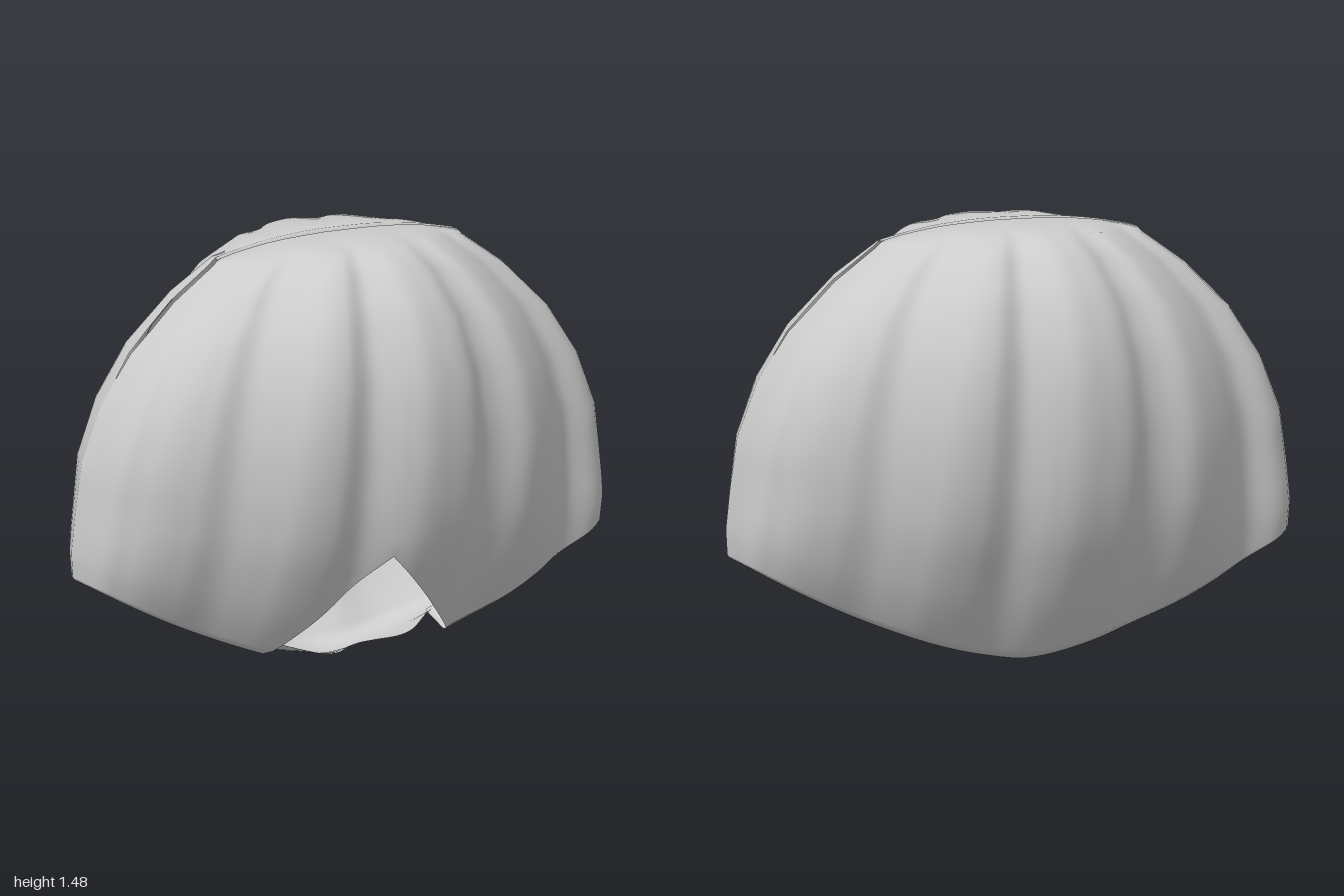
import * as THREE from 'three';

// Rib profile across one half: position from right edge to left edge, and depth there
const RIB_S = [-1, -0.985, -0.88, -0.7, -0.56, -0.46, -0.37, -0.24, -0.11, 0, 0.08, 0.19, 0.29,
  0.37, 0.43, 0.56, 0.69, 0.8, 0.97, 1];
const RIB_Z = [0, 0.08, 0.22, 0.315, 0.335, 0.4, 0.465, 0.49, 0.455, 0.505, 0.527, 0.51, 0.475,
  0.41, 0.39, 0.385, 0.29, 0.17, 0.09, 0];
const ribs = new THREE.CubicInterpolant(RIB_S, RIB_Z, 1);

// Rows from bottom seam to top lip: [y at middle, y at side, half width, depth]
const ROWS = [[0.03, 0.41, 0.97, 0], [0.0, 0.395, 0.985, 0.08], [0.008, 0.385, 0.99, 0.15],
  [0.04, 0.395, 0.995, 0.2], [0.25, 0.48, 1.0, 0.34], [0.51, 0.62, 0.985, 0.47],
  [0.8, 0.79, 0.96, 0.53], [1.05, 0.97, 0.89, 0.53], [1.25, 1.14, 0.78, 0.47],
  [1.39, 1.3, 0.62, 0.37], [1.46, 1.41, 0.47, 0.27], [1.48, 1.43, 0.45, 0.025],
  [1.44, 1.4, 0.43, 0.015]];

const LAST = ROWS.length - 1;
const COLS = 120;
const RINGS = LAST * 2;

// Point on a half shell; s runs across, t runs up through the rows
function shellPoint(s, t, curl) {
  const i = Math.min(Math.floor(t), LAST - 1), f = t - i;
  const [yMid, ySide, width, depth] = ROWS[i].map((a, k) => a + (ROWS[i + 1][k] - a) * f);
  const a = Math.abs(s);
  const k = depth / 0.53;
  // the side corners stay puffed out near the bottom
  const puff = t < 5 ? Math.min(t, 1) * (1 - k) * 0.6 * a ** 4 : 0;
  let z = ribs.evaluate(s)[0] * (k + puff);
  // the bottom seam wavers, the top seam is a narrow slit
  z -= Math.max(0, 1 - t) * (curl * (1 - a) + 0.04 * Math.sin(20 * s) * (1 - a ** 8));
  const slit = 0.012 * THREE.MathUtils.clamp(t - 7.5, 0, 1);
  const y = yMid + (ySide - yMid) * a ** (1.5 + (t / LAST) ** 2);
  return new THREE.Vector3(s * width, y, slit > 0 ? Math.max(z, slit) : z);
}

// First row left standing above the triangular notch
function notchStart(s) {
  const above = t => {
    const p = shellPoint(s, t, 0);
    return p.y - (0.44 - 1.03 * Math.abs(p.x));
  };
  if (above(0) > 0 && above(1) > 0) return 0;
  let lo = 0, hi = 7;
  for (let n = 0; n < 30; n++) {
    const mid = (lo + hi) / 2;
    if (above(mid) < 0) lo = mid; else hi = mid;
  }
  return hi;
}

function halfShell(notched) {
  const pos = [], index = [];
  for (let c = 0; c <= COLS; c++) {
    const s = -1 + 2 * c / COLS;
    const start = notched ? notchStart(s) : 0;
    for (let r = 0; r <= RINGS; r++) {
      const p = shellPoint(s, Math.max(r / 2, start), notched ? 0 : 0.04);
      pos.push(p.x, p.y, p.z);
    }
  }
  for (let c = 0; c < COLS; c++) {
    for (let r = 0; r < RINGS; r++) {
      const a = c * (RINGS + 1) + r, b = a + RINGS + 1;
      index.push(a, b, b + 1, a, b + 1, a + 1);
    }
  }
  const geo = new THREE.BufferGeometry();
  geo.setAttribute('position', new THREE.Float32BufferAttribute(pos, 3));
  geo.setIndex(index);
  geo.computeVertexNormals();
  return geo;
}

export function createModel() {
  const group = new THREE.Group();
  group.name = 'ribbedShell';
  const shellGrey = new THREE.MeshStandardMaterial({ color: 0xcccccc, side: THREE.DoubleSide });
  shellGrey.name = 'shell grey';

  // Front half with the notch
  const front = new THREE.Mesh(halfShell(true), shellGrey);
  front.name = 'frontShell';

  // Back half, turned round
  const back = new THREE.Mesh(halfShell(false), shellGrey);
  back.name = 'backShell';
  back.rotation.y = Math.PI;

  group.add(front, back);
  return group;
}
